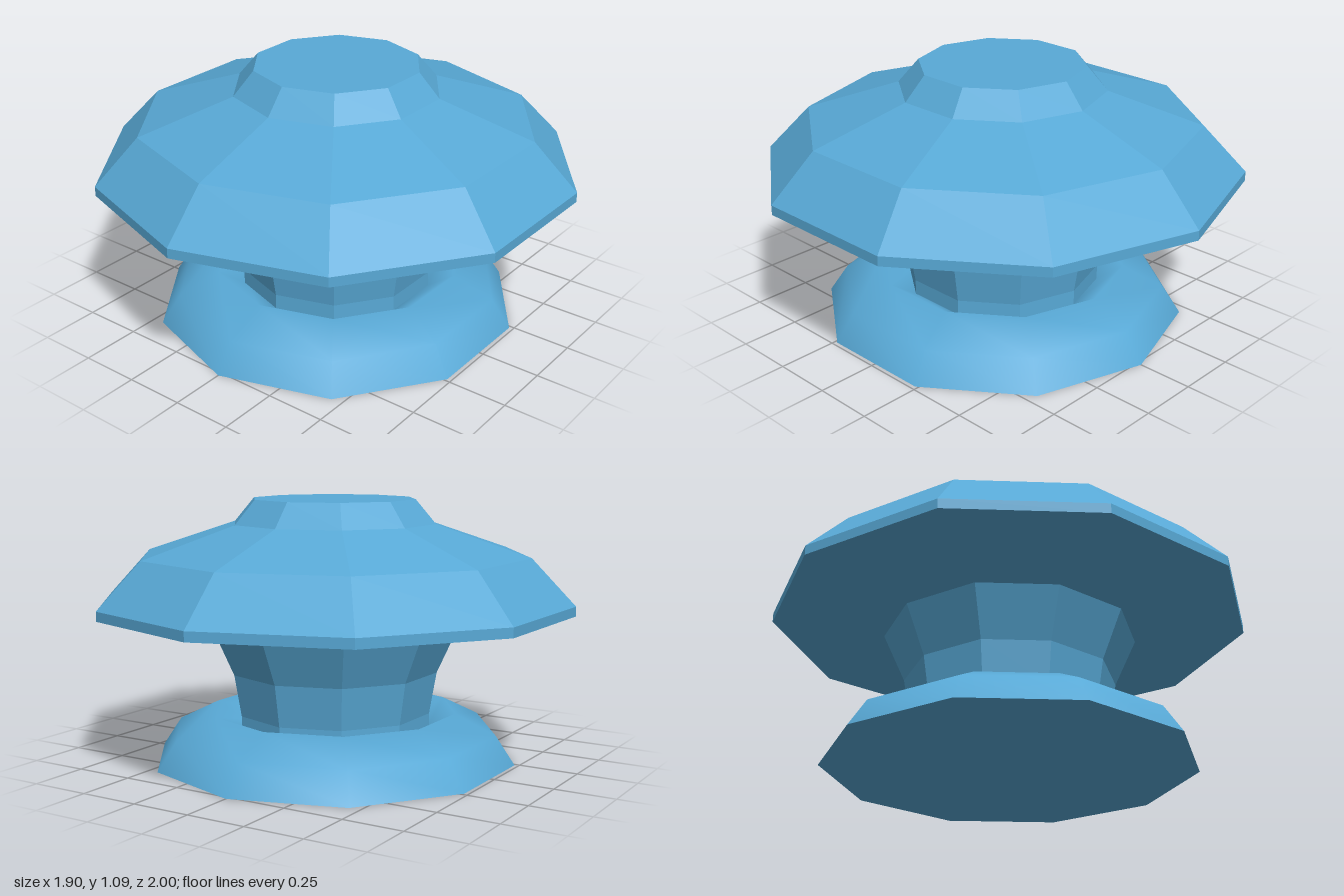
import * as THREE from 'three';

const SIDES = 10;
const COLOR = 0x58a9d6;

// Ten-sided turned part from [radius, height] pairs, listed from bottom to top
function turned(name, profile, material) {
  const points = profile.map(([r, y]) => new THREE.Vector2(r, y));
  const mesh = new THREE.Mesh(new THREE.LatheGeometry(points, SIDES), material);
  mesh.name = name;
  return mesh;
}

export function createModel() {
  const group = new THREE.Group();
  group.name = 'knob';
  const faceted = new THREE.MeshStandardMaterial({ color: COLOR, flatShading: true });
  const smooth = new THREE.MeshStandardMaterial({ color: COLOR });

  // Smooth rounded foot, dished around the stem
  group.add(turned('base', [[0.77, 0], [0.69, 0.12], [0.52, 0.205], [0.4, 0.13]], smooth));

  // Flat underside of the foot, with corners on the z axis
  const bottom = new THREE.Mesh(new THREE.CircleGeometry(0.77, SIDES, Math.PI / 2), faceted);
  bottom.name = 'baseBottom';
  bottom.rotation.x = Math.PI / 2;
  group.add(bottom);

  // Flared faceted stem
  group.add(turned('stem', [[0.41, 0.12], [0.41, 0.2], [0.44, 0.375], [0.53, 0.575]], faceted));

  // Wide faceted cap with a flat top
  group.add(turned('cap', [
    [0.53, 0.575], [1, 0.63], [1, 0.67], [0.82, 0.86], [0.43, 0.99], [0.345, 1.09], [0, 1.09],
  ], faceted));

  return group;
}
